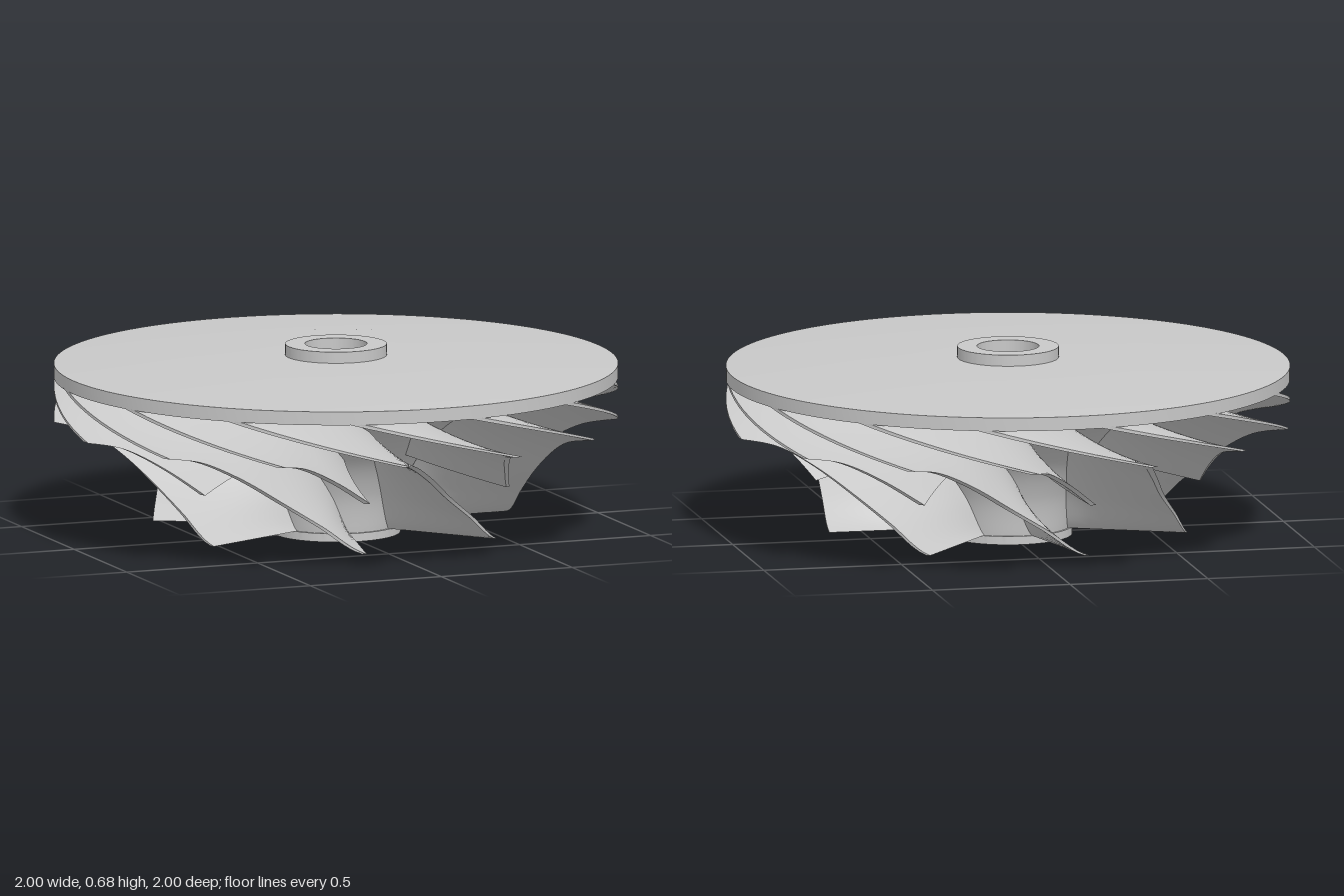
import * as THREE from 'three';
import { toCreasedNormals } from 'three/addons/utils/BufferGeometryUtils.js';

const v2 = ([r, y]) => new THREE.Vector2(r, y);
const rad = THREE.MathUtils.degToRad;

// Meridional curves (radius, height) the blades run along
const hubCurve = new THREE.SplineCurve(
  [[0.22, 0.03], [0.245, 0.17], [0.32, 0.31], [0.48, 0.44], [0.72, 0.525], [1, 0.557]].map(v2));
const shroudCurve = new THREE.SplineCurve(
  [[0.65, 0.03], [0.66, 0.13], [0.7, 0.22], [0.78, 0.31], [0.88, 0.375], [1, 0.4]].map(v2));

// Wrap angle of the blade's root and tip along the flow
const BLADES = 7;
const hubSweep = (t) => rad(81.7) * t;
const shroudSweep = (t) => rad(45.7) * (1 - Math.pow(1 - t, 1.616));

// Blade from t0 to the rim: one closed cross-section per step along the flow
function bladeGeometry(t0) {
  const steps = 32, spans = 10, n = 2 * (spans + 1);
  const pos = [], idx = [];
  for (let i = 0; i <= steps; i++) {
    const t = t0 + (1 - t0) * i / steps;
    const h = hubCurve.getPoint(t), s = shroudCurve.getPoint(t);
    for (let j = 0; j < n; j++) {
      const k = j <= spans ? j : n - 1 - j;
      const side = j <= spans ? 1 : -1;
      const f = k === 0 ? -0.02 : k / spans;
      const r = THREE.MathUtils.lerp(h.x, s.x, f);
      const y = THREE.MathUtils.lerp(h.y, s.y, f);
      const half = THREE.MathUtils.lerp(0.013, 0.008, f) * (1 + t);
      const a = -THREE.MathUtils.lerp(hubSweep(t), shroudSweep(t), f) + side * half / r;
      pos.push(r * Math.cos(a), y, -r * Math.sin(a));
    }
  }
  const quad = (a, b, c, d) => idx.push(a, b, c, a, c, d);
  for (let i = 0; i < steps; i++) {
    for (let j = 0; j < n; j++) {
      const a = i * n, b = a + n, m = (j + 1) % n;
      quad(a + j, b + j, b + m, a + m);
    }
  }
  // leading and trailing edges
  const e = steps * n;
  for (let k = 0; k < spans; k++) {
    quad(k, k + 1, n - 2 - k, n - 1 - k);
    quad(e + n - 1 - k, e + n - 2 - k, e + k + 1, e + k);
  }
  const g = new THREE.BufferGeometry();
  g.setAttribute('position', new THREE.Float32BufferAttribute(pos, 3));
  g.setIndex(idx);
  return toCreasedNormals(g, rad(35));
}

export function createModel() {
  const group = new THREE.Group();
  const metal = new THREE.MeshStandardMaterial({ color: 0xc8c8c8 });
  metal.name = 'grey metal';

  // Hub, back disc, boss and through bore in one turned profile
  const profile = [
    v2([0.11, 0]), v2([0.228, 0]), v2([0.228, 0.03]),
    ...hubCurve.getPoints(40),
    v2([1, 0.605]), v2([0.52, 0.635]), v2([0.18, 0.635]),
    v2([0.18, 0.675]), v2([0.11, 0.675]), v2([0.11, 0]),
  ];
  const hub = new THREE.Mesh(
    toCreasedNormals(new THREE.LatheGeometry(profile, 128), rad(30)), metal);
  hub.name = 'hubAndBackDisc';
  group.add(hub);

  // Alternating full-length and splitter blades
  const mainGeo = bladeGeometry(0), splitterGeo = bladeGeometry(0.4);
  for (let k = 0; k < BLADES; k++) {
    const main = new THREE.Mesh(mainGeo, metal);
    main.name = 'mainBlade';
    main.rotation.y = k * 2 * Math.PI / BLADES;
    const splitter = new THREE.Mesh(splitterGeo, metal);
    splitter.name = 'splitterBlade';
    splitter.rotation.y = (k + 0.5) * 2 * Math.PI / BLADES;
    group.add(main, splitter);
  }
  return group;
}
